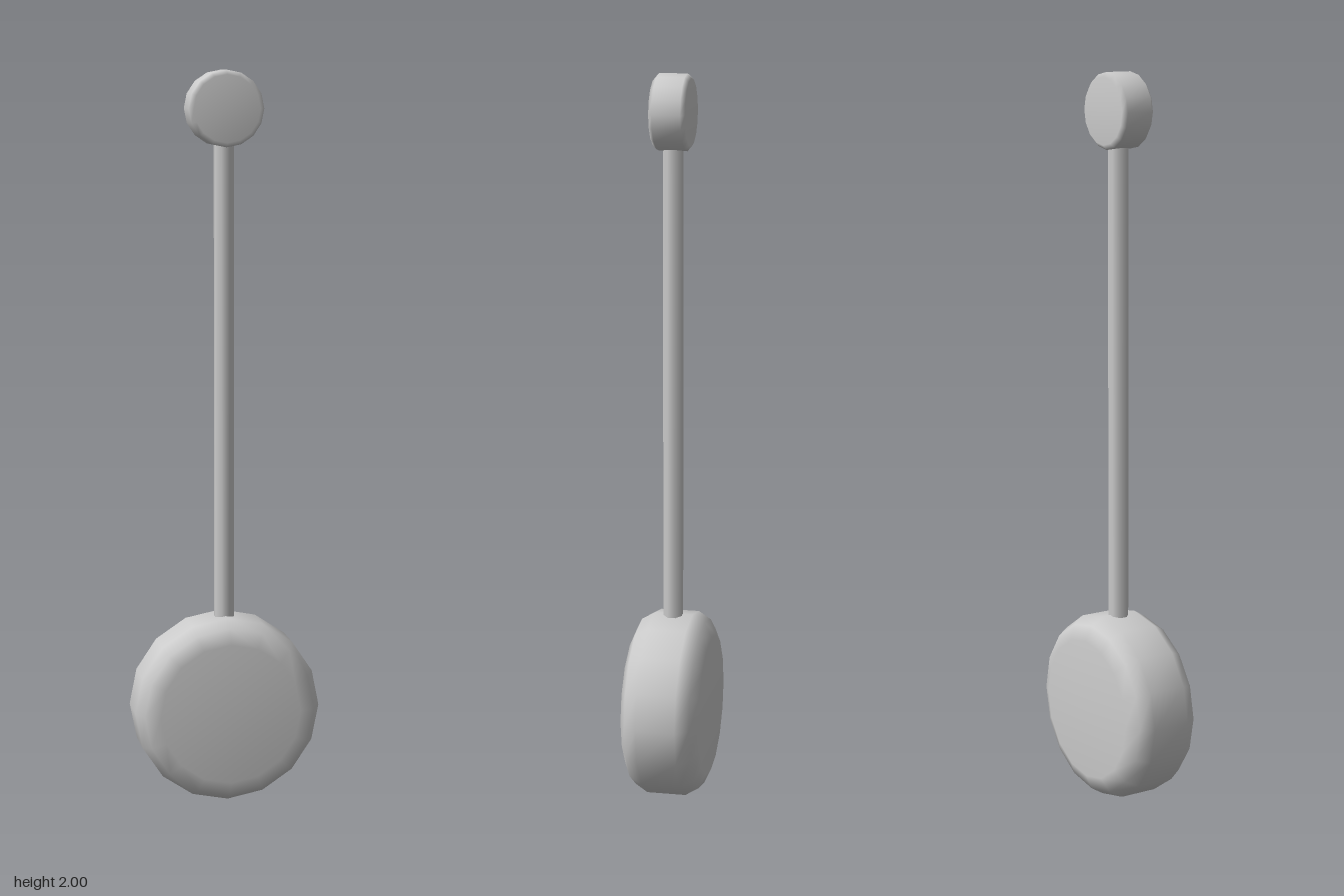
import * as THREE from 'three';

const material = new THREE.MeshStandardMaterial({ color: 0xcccccc });

// Disc with rounded rim facing z; half holds [radius, z] from the rim to the flat face
function disc(name, half, y) {
  const back = half.map(([r, z]) => new THREE.Vector2(r, -z)).reverse();
  const front = half.map(([r, z]) => new THREE.Vector2(r, z));
  const axis = half[half.length - 1][1];
  const profile = [new THREE.Vector2(0, -axis), ...back, ...front, new THREE.Vector2(0, axis)];
  const geometry = new THREE.LatheGeometry(profile, 16);
  geometry.rotateX(Math.PI / 2);
  const mesh = new THREE.Mesh(geometry, material);
  mesh.name = name;
  mesh.position.y = y;
  return mesh;
}

export function createModel() {
  const model = new THREE.Group();
  model.name = 'pendulum';

  // Heavy weight at the bottom
  model.add(disc('bob', [[0.257, 0.054], [0.236, 0.089], [0.195, 0.108]], 0.257));

  // Small disc at the pivot
  model.add(disc('pivotDisc', [[0.102, 0.038], [0.09, 0.049]], 1.898));

  // Eight-sided rod, with flats to the front and sides, ending inside both discs
  const rod = new THREE.Mesh(
    new THREE.CylinderGeometry(0.028, 0.028, 1.38, 8, 1, false, Math.PI / 8), material);
  rod.name = 'rod';
  rod.position.y = 1.15;
  model.add(rod);

  return model;
}
